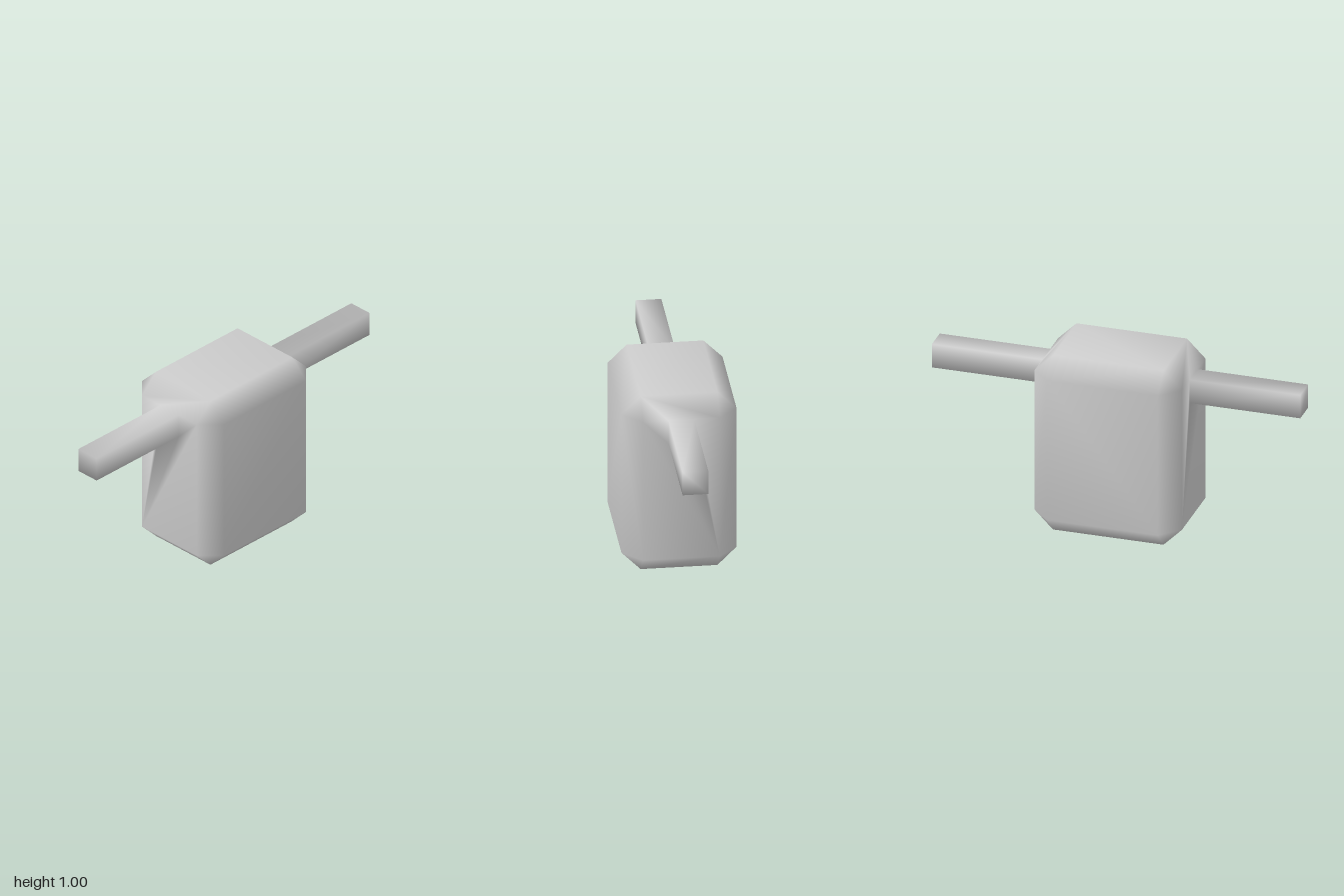
import * as THREE from 'three';
import { mergeVertices } from 'three/addons/utils/BufferGeometryUtils.js';

const X = 0.4, Z = 0.3, H = 1, B = 0.1;          // body half width, half depth, height, bevel
const R = 0.067, LOW = 0.767, TOP = 0.9, TIP = 1; // arm half depth, bottom, top, end

export function createModel() {
  const positions = [];

  // Adds a convex polygon as a fan, turned to face the outward direction
  function face(points, outward) {
    const p = points.map((c) => new THREE.Vector3(...c));
    const out = new THREE.Vector3(...outward);
    for (let i = 1; i < p.length - 1; i++) {
      const tri = [p[0], p[i], p[i + 1]];
      const n = tri[1].clone().sub(tri[0]).cross(tri[2].clone().sub(tri[0]));
      if (n.dot(out) < 0) tri.reverse();
      tri.forEach((v) => positions.push(v.x, v.y, v.z));
    }
  }

  const x = X - B, z = Z - B, lo = B, hi = H - B;

  // Top and bottom
  for (const [y, s] of [[H, 1], [0, -1]]) {
    face([[-x, y, -z], [x, y, -z], [x, y, z], [-x, y, z]], [0, s, 0]);
  }

  // Front and back with their upper and lower bevels
  for (const s of [1, -1]) {
    face([[-x, lo, s * Z], [x, lo, s * Z], [x, hi, s * Z], [-x, hi, s * Z]], [0, 0, s]);
    for (const [y, edge, d] of [[H, hi, 1], [0, lo, -1]]) {
      face([[-x, y, s * z], [x, y, s * z], [x, edge, s * Z], [-x, edge, s * Z]], [0, d, s]);
    }
  }

  for (const s of [1, -1]) {
    const sx = s * X, bx = s * x, tip = s * TIP;

    // Side panel, notched where the arm grows out
    const outline = [[-z, hi], [-R, hi], [-R, LOW], [R, LOW], [R, hi], [z, hi], [z, lo], [-z, lo]]
      .map((c) => new THREE.Vector2(...c));
    for (const tri of THREE.ShapeUtils.triangulateShape(outline, [])) {
      face(tri.map((i) => [sx, outline[i].y, outline[i].x]), [s, 0, 0]);
    }

    // Side bevels above and below
    face([[bx, H, z], [sx, hi, z], [sx, hi, R], [sx, hi, -R], [sx, hi, -z], [bx, H, -z]], [s, 1, 0]);
    face([[bx, 0, z], [sx, lo, z], [sx, lo, -z], [bx, 0, -z]], [s, -1, 0]);

    // Upright bevels and corner triangles
    for (const f of [1, -1]) {
      face([[sx, lo, f * z], [bx, lo, f * Z], [bx, hi, f * Z], [sx, hi, f * z]], [s, 0, f]);
      for (const [y, edge, d] of [[H, hi, 1], [0, lo, -1]]) {
        face([[bx, y, f * z], [sx, edge, f * z], [bx, edge, f * Z]], [s, d, f]);
      }
    }

    // Square arm: four long faces and the end
    for (const f of [1, -1]) {
      face([[sx, LOW, f * R], [tip, LOW, f * R], [tip, TOP, f * R], [sx, TOP, f * R]], [0, 0, f]);
    }
    for (const [y, d] of [[TOP, 1], [LOW, -1]]) {
      face([[sx, y, -R], [tip, y, -R], [tip, y, R], [sx, y, R]], [0, d, 0]);
    }
    face([[tip, LOW, -R], [tip, TOP, -R], [tip, TOP, R], [tip, LOW, R]], [s, 0, 0]);
  }

  // One welded skin with smooth normals across body and arms
  let geometry = new THREE.BufferGeometry();
  geometry.setAttribute('position', new THREE.Float32BufferAttribute(positions, 3));
  geometry = mergeVertices(geometry);
  geometry.computeVertexNormals();

  const grey = new THREE.MeshStandardMaterial({ color: 0xcccccc });
  grey.name = 'light grey';
  const body = new THREE.Mesh(geometry, grey);
  body.name = 'bodyWithArms';

  const group = new THREE.Group();
  group.name = 'bevelledBlockWithArms';
  group.add(body);
  return group;
}
